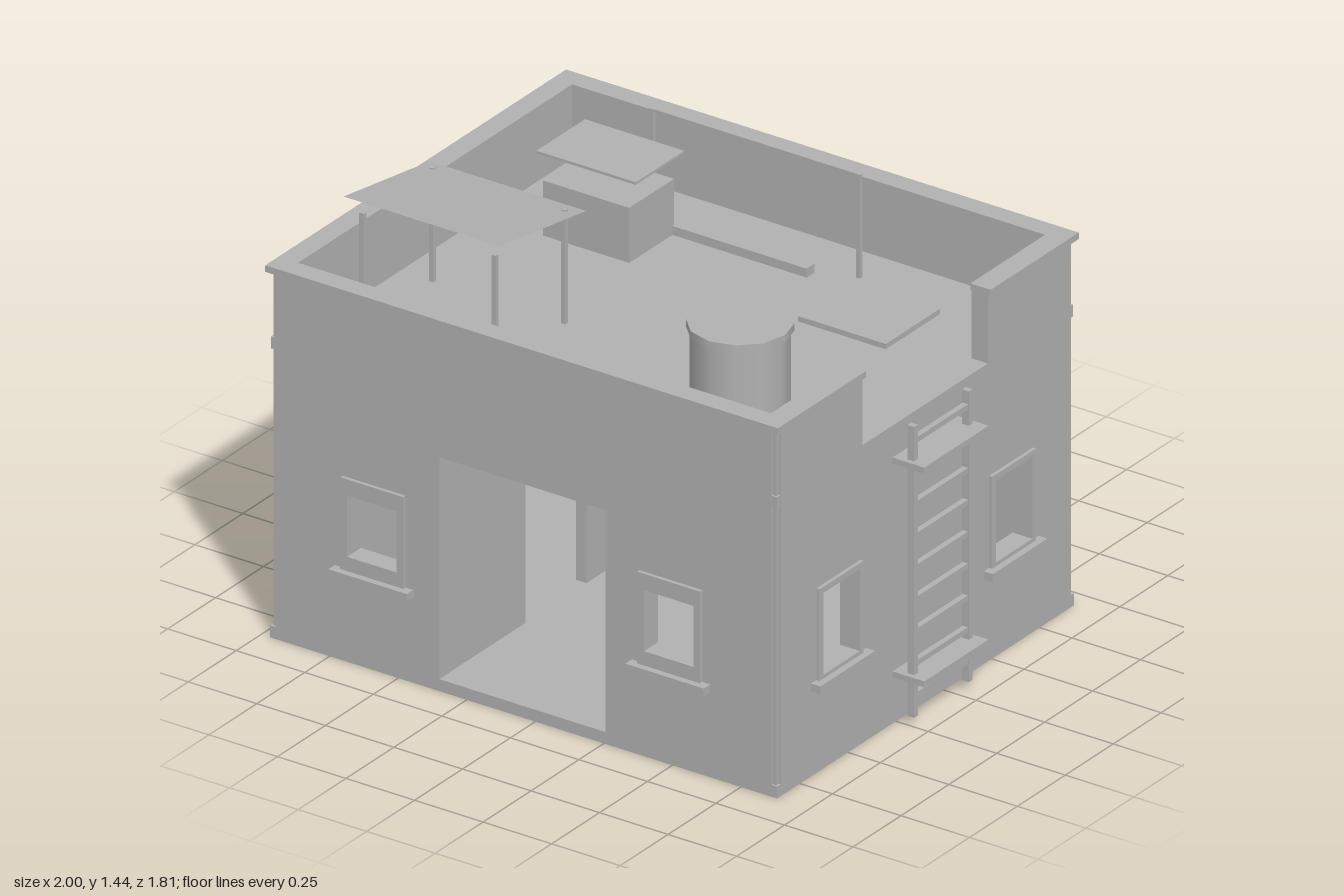
import * as THREE from 'three';

const stone = new THREE.MeshStandardMaterial({ color: 0xb2b2b2 });
stone.name = 'plainGrey';
const sheet = new THREE.MeshStandardMaterial({ color: 0xb2b2b2, side: THREE.DoubleSide });
sheet.name = 'plainGreySheet';

const T = 0.06; // wall thickness
const X0 = -0.967, X1 = 0.882, Z0 = -0.68, Z1 = 0.87; // outer wall faces

function add(parent, name, geometry, material = stone) {
  const mesh = new THREE.Mesh(geometry, material);
  mesh.name = name;
  parent.add(mesh);
  return mesh;
}

// Box given by its extents on each axis
function box(parent, name, x0, x1, y0, y1, z0, z1) {
  const mesh = add(parent, name, new THREE.BoxGeometry(x1 - x0, y1 - y0, z1 - z0));
  mesh.position.set((x0 + x1) / 2, (y0 + y1) / 2, (z0 + z1) / 2);
  return mesh;
}

function rectPath([u0, u1, y0, y1]) {
  const path = new THREE.Path();
  path.moveTo(u0, y0);
  path.lineTo(u0, y1);
  path.lineTo(u1, y1);
  path.lineTo(u1, y0);
  path.closePath();
  return path;
}

// Upright panel from an outline with rectangular holes, from depth w0 to w1
function panel(parent, name, outline, holes, w0, w1) {
  const shape = new THREE.Shape(outline.map(([u, y]) => new THREE.Vector2(u, y)));
  shape.holes = holes.map(rectPath);
  const geometry = new THREE.ExtrudeGeometry(shape, { depth: w1 - w0, bevelEnabled: false });
  geometry.translate(0, 0, w0);
  return add(parent, name, geometry);
}

// One side of the house: local x runs along the wall, local z points outwards
function side(parent, name, { turn, x = 0, z = 0, u0, u1, windows, hole, door, notch }) {
  const group = new THREE.Group();
  group.name = name;
  group.rotation.y = turn;
  group.position.set(x, 0, z);
  parent.add(group);

  const outline = [[u0, 0.04]];
  if (door) outline.push([door[0], 0.04], [door[0], 0.785], [door[1], 0.785], [door[1], 0.04]);
  outline.push([u1, 0.04], [u1, 1.23]);
  if (notch) outline.push([notch[1], 1.23], [notch[1], 1.0], [notch[0], 1.0], [notch[0], 1.23]);
  outline.push([u0, 1.23]);
  const [hw, h0, h1] = hole;
  panel(group, 'wall', outline, windows.map(c => [c - hw, c + hw, h0, h1]), -T, 0);

  for (const c of windows) {
    const frame = [[c - 0.115, 0.31], [c + 0.115, 0.31], [c + 0.115, 0.62], [c - 0.115, 0.62]];
    panel(group, 'windowFrame', frame, [[c - hw, c + hw, h0, h1]], 0, 0.012);
    box(group, 'windowSill', c - 0.143, c + 0.143, 0.285, 0.312, -0.005, 0.034);
  }
}

function addShell(model) {
  box(model, 'baseSlab', X0, X1, 0, 0.04, Z0, Z1);
  box(model, 'roofDeck', X0 + 0.03, X1 - 0.001, 0.96, 1.0, Z0 + 0.03, Z1 - 0.03);

  const frontHole = [0.09, 0.36, 0.565], sideHole = [0.095, 0.325, 0.6], e = 0.02;
  side(model, 'frontSide', { turn: 0, z: Z1, u0: X0 + e, u1: X1 - e,
    windows: [-0.588, 0.495], hole: frontHole, door: [-0.35, 0.257] });
  side(model, 'backSide', { turn: Math.PI, z: Z0, u0: -X1 + e, u1: -X0 - e,
    windows: [-0.495, 0.588], hole: frontHole, door: [-0.257, 0.35] });
  side(model, 'rightWallSide', { turn: Math.PI / 2, x: X1, u0: -Z1 + e, u1: -Z0 - e,
    windows: [-0.55, 0.35], hole: sideHole, notch: [-0.425, 0.23] });
  side(model, 'leftWallSide', { turn: -Math.PI / 2, x: X0, u0: Z0 + e, u1: Z1 - e,
    windows: [-0.35, 0.55], hole: sideHole });

  // Recessed corner strips with small collars
  for (const [cx, sx] of [[X0, 1], [X1, -1]]) {
    for (const [cz, sz] of [[Z0, 1], [Z1, -1]]) {
      const strip = box(model, 'cornerStrip', 0, 0.04, 0.04, 1.23, 0, 0.04);
      strip.position.x = cx + sx * 0.027;
      strip.position.z = cz + sz * 0.027;
      const collar = box(model, 'cornerCollar', 0, 0.03, 0.97, 1.01, 0, 0.03);
      collar.position.x = cx + sx * 0.017;
      collar.position.z = cz + sz * 0.017;
    }
  }

  // Coping on the parapet, broken at the ladder gap
  const cap = (x0, x1, z0, z1) => box(model, 'parapetCap', x0, x1, 1.228, 1.25, z0, z1);
  cap(-0.978, 0.892, 0.81, 0.88);
  cap(-0.978, 0.892, -0.69, -0.62);
  cap(-0.978, -0.907, -0.62, 0.81);
  cap(0.818, 0.892, -0.62, -0.23);
  cap(0.818, 0.892, 0.42, 0.81);

  // Inner dividing wall with a doorway
  box(model, 'innerWall', -0.39, -0.351, 0.04, 0.97, 0.42, 0.82);
  box(model, 'innerWall', -0.39, -0.351, 0.04, 0.97, -0.63, 0.1);
  box(model, 'indoorCrate', 0.63, 0.8, 0.04, 0.34, -0.2, 0);

  // Back porch roof and trough
  box(model, 'backAwning', -0.465, 0.372, 0.83, 0.865, -0.905, Z0);
  box(model, 'backTrough', -0.813, -0.465, 0.035, 0.2, -0.877, Z0);
}

function addLadder(model) {
  const ladder = new THREE.Group();
  ladder.name = 'ladder';
  model.add(ladder);
  for (const z of [-0.053, 0.232]) box(ladder, 'ladderRail', 0.925, 0.95, 0.032, 1.008, z, z + 0.02);
  for (let i = 0; i < 9; i++) {
    const y = 0.1 + i * 0.107;
    box(ladder, 'ladderRung', 0.928, 0.947, y - 0.009, y + 0.009, -0.035, 0.235);
  }
  for (const y of [0.155, 0.873]) box(ladder, 'ladderBracket', X1, 0.998, y, y + 0.02, -0.068, 0.268);
}

function addRoofItems(model) {
  // Water tank
  const tank = (name, r, y0, y1) =>
    add(model, name, new THREE.CylinderGeometry(r, r, y1 - y0, 12).toNonIndexed())
      .position.set(0.44, (y0 + y1) / 2, 0.43);
  tank('tankBody', 0.152, 1.0, 1.265);
  tank('tankLid', 0.163, 1.265, 1.29);

  // Sloping sunshade on four posts
  const shade = add(model, 'sunshade', new THREE.PlaneGeometry(0.57, Math.hypot(0.45, 0.07)), sheet);
  shade.rotation.x = -Math.PI / 2 - Math.atan2(0.07, 0.45);
  shade.position.set(-0.547, 1.405, 0.455);
  for (const x of [-0.79, -0.308])
    for (const z of [0.277, 0.64]) box(model, 'sunshadePost', x - 0.008, x + 0.008, 1.0, 1.382, z - 0.007, z + 0.007);

  // Crate with a raised board, floor hatch and loose beam
  box(model, 'roofCrate', -0.69, -0.375, 1.0, 1.185, -0.39, -0.157);
  box(model, 'raisedBoard', -0.712, -0.35, 1.27, 1.279, -0.408, -0.155);
  box(model, 'roofHatch', 0.262, 0.583, 1.004, 1.022, -0.408, -0.125);
  box(model, 'looseBeam', -0.567, 0.115, 1.0, 1.03, -0.422, -0.382);

  // Drying line with three cloths
  for (const x of [-0.512, 0.243]) box(model, 'linePost', x - 0.007, x + 0.007, 1.0, 1.348, -0.481, -0.467);
  box(model, 'dryingLine', -0.515, 0.248, 1.338, 1.347, -0.478, -0.47);
  for (const x of [-0.49, -0.343, -0.195]) {
    const cloth = add(model, 'hangingCloth', new THREE.PlaneGeometry(0.108, 0.165), sheet);
    cloth.position.set(x + 0.054, 1.25, -0.474);
  }
}

export function createModel() {
  const model = new THREE.Group();
  model.name = 'flatRoofHouse';
  addShell(model);
  addLadder(model);
  addRoofItems(model);
  return model;
}
